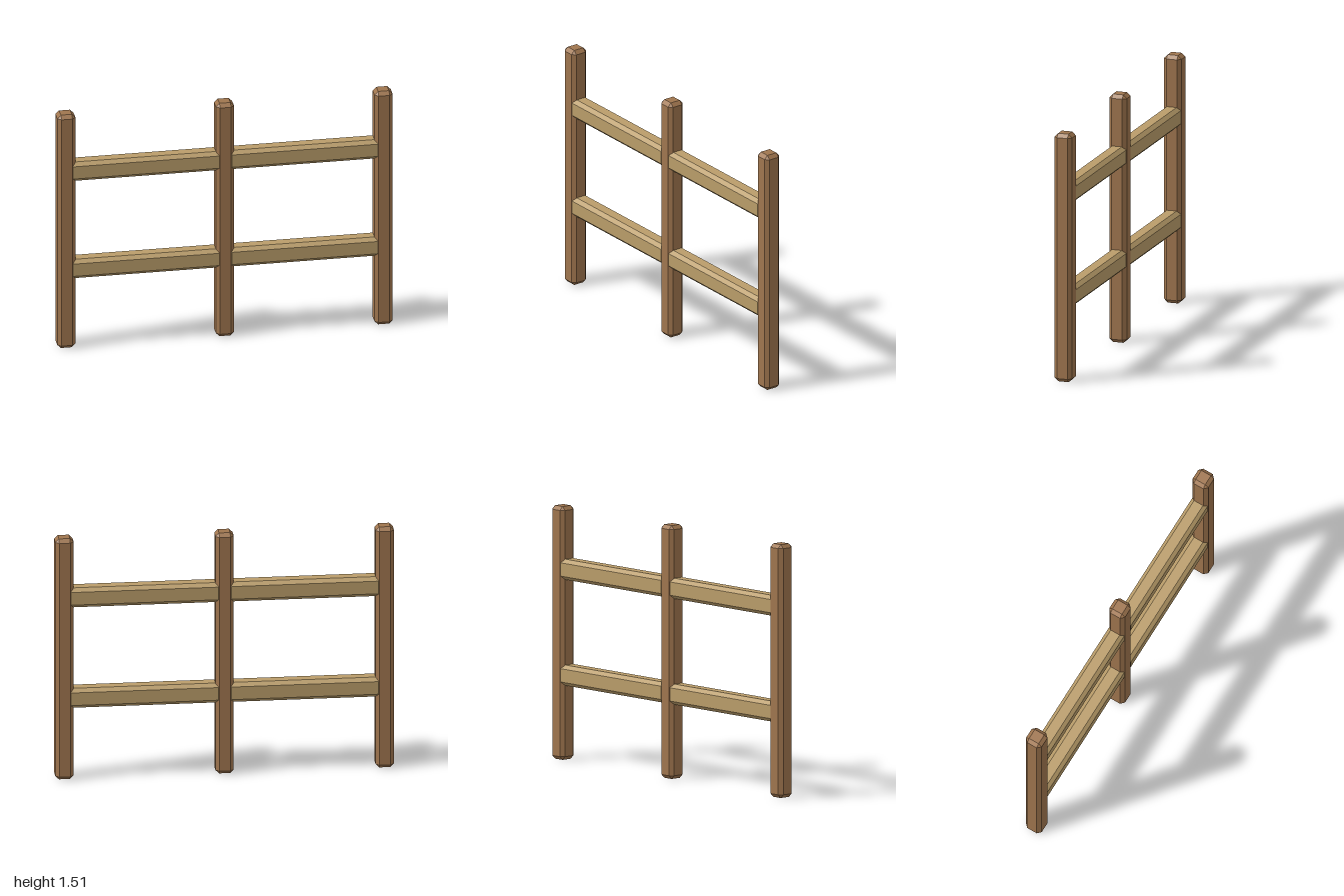
import * as THREE from 'three';
import { ConvexGeometry } from 'three/addons/geometries/ConvexGeometry.js';

// Box with every edge cut by a single flat chamfer
function chamferedBox(w, h, d, c) {
  const points = [];
  for (const sx of [-1, 1]) for (const sy of [-1, 1]) for (const sz of [-1, 1]) {
    for (let axis = 0; axis < 3; axis++) {
      const half = [w / 2 - c, h / 2 - c, d / 2 - c];
      half[axis] += c;
      points.push(new THREE.Vector3(sx * half[0], sy * half[1], sz * half[2]));
    }
  }
  return new ConvexGeometry(points);
}

export function createModel() {
  const group = new THREE.Group();
  group.name = 'fence';

  const postWood = new THREE.MeshStandardMaterial({ color: 0xa0764f });
  postWood.name = 'brown post wood';
  const railWood = new THREE.MeshStandardMaterial({ color: 0xba9d6a });
  railWood.name = 'pale rail wood';

  function add(name, geometry, material, x, y) {
    const mesh = new THREE.Mesh(geometry, material);
    mesh.name = name;
    mesh.position.set(x, y, 0);
    group.add(mesh);
  }

  const postHeight = 1.508, postWidth = 0.108, spacing = 1 - postWidth / 2;

  // Three upright posts
  const postGeometry = chamferedBox(postWidth, postHeight, postWidth, 0.0215);
  [['rightPost', -spacing], ['middlePost', 0], ['leftPost', spacing]].forEach(([name, x]) =>
    add(name, postGeometry, postWood, x, postHeight / 2));

  // Two rails in each bay, their ends sunk into the posts
  const railGeometry = chamferedBox(spacing - 0.032, 0.122, 0.104, 0.0215);
  for (const [level, y] of [['lower', 0.506], ['upper', 1.136]]) {
    add(level + 'RightRail', railGeometry, railWood, -spacing / 2, y);
    add(level + 'LeftRail', railGeometry, railWood, spacing / 2, y);
  }
  return group;
}
